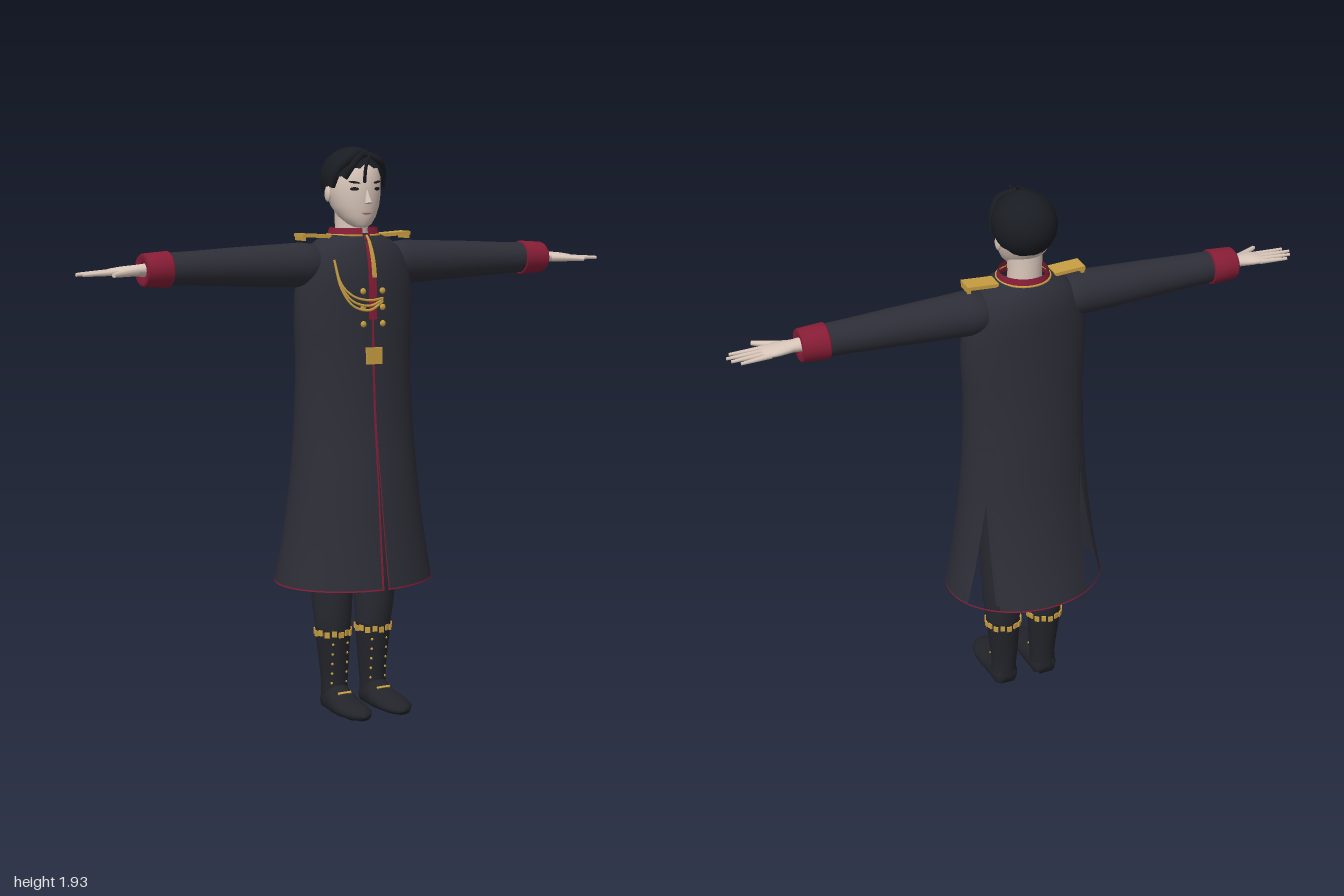
import * as THREE from 'three';
import { mergeVertices } from 'three/addons/utils/BufferGeometryUtils.js';

const mat = (name, color, side = THREE.FrontSide) => {
  const m = new THREE.MeshStandardMaterial({ color, side });
  m.name = name;
  return m;
};

// Smooth surface from a rule fn(u, v) -> [x, y, z]
function grid(nu, nv, fn) {
  const pos = [], idx = [], w = nu + 1;
  for (let j = 0; j <= nv; j++) for (let i = 0; i <= nu; i++) pos.push(...fn(i / nu, j / nv));
  for (let j = 0; j < nv; j++) for (let i = 0; i < nu; i++) {
    const a = j * w + i;
    idx.push(a, a + 1, a + w + 1, a, a + w + 1, a + w);
  }
  let g = new THREE.BufferGeometry();
  g.setAttribute('position', new THREE.Float32BufferAttribute(pos, 3));
  g.setIndex(idx);
  g = mergeVertices(g, 1e-5);
  g.computeVertexNormals();
  return g;
}

// Elliptical loft along an axis; rows are [t, centre1, centre2, radius1, radius2].
// Cross axes: y -> (x, z), x -> (z, y), z -> (y, x)
function loft(axis, rows, n = 24, floor = -1) {
  return grid(n, rows.length - 1, (u, v) => {
    const [t, c1, c2, r1, r2] = rows[Math.round(v * (rows.length - 1))];
    const a = u * Math.PI * 2, p = c1 + r1 * Math.sin(a), q = c2 + r2 * Math.cos(a);
    const o = axis === 'y' ? [p, t, q] : axis === 'x' ? [t, q, p] : [q, p, t];
    o[1] = Math.max(o[1], floor);
    return o;
  });
}

// Coat profile by height: half width, front depth, back depth
const coatY = [0.45, 0.6, 0.8, 1.0, 1.2, 1.4, 1.5, 1.56, 1.6, 1.63, 1.645];
const coatR = [
  0.283, 0.235, 0.235, 0.258, 0.213, 0.198, 0.233, 0.188, 0.165, 0.218, 0.16, 0.147,
  0.213, 0.145, 0.133, 0.218, 0.138, 0.127, 0.208, 0.134, 0.126, 0.188, 0.124, 0.122,
  0.16, 0.11, 0.11, 0.115, 0.095, 0.095, 0.08, 0.08, 0.08];
const profile = new THREE.CubicInterpolant(coatY, coatR, 3);
const coatPoint = (y, a, s = 1) => {
  const [rx, zf, zb] = profile.evaluate(y);
  const c = Math.cos(a);
  return [s * rx * Math.sin(a), y, s * c * (c > 0 ? zf : zb)];
};
// Piece of the coat between two heights and two angles (angles may vary with height)
const patch = (y0, y1, lo, hi, s, nu, nv) => grid(nu, nv, (u, v) => {
  const y = y0 + (y1 - y0) * v;
  return coatPoint(y, lo(y) + (hi(y) - lo(y)) * u, typeof s === 'function' ? s(y) : s);
});
const chest = (x, y, off = 0.005) => {
  const rx = profile.evaluate(y)[0];
  const p = coatPoint(y, Math.asin(x / rx));
  return new THREE.Vector3(p[0], y, p[2] + off);
};
// 0 at the top of a slit, 1 at the hem
const open = (y, top) => Math.max(0, (top - y) / (top - 0.45));

export function createModel() {
  const coat = mat('coatCloth', 0x2d2e37, THREE.DoubleSide);
  const trouser = mat('trouserCloth', 0x292a32);
  const leather = mat('bootLeather', 0x23242a);
  const red = mat('crimsonTrim', 0x861d36, THREE.DoubleSide);
  const gold = mat('goldBraid', 0xc79d42);
  const skin = mat('skin', 0xd9c6ba);
  const hair = mat('hair', 0x191c22, THREE.DoubleSide);
  const dark = mat('eyeDark', 0x22191a);
  const lip = mat('lip', 0xa9807a);

  const model = new THREE.Group();
  const add = (name, geo, m, parent = model, p = [0, 0, 0], r = [0, 0, 0]) => {
    const mesh = new THREE.Mesh(geo, m);
    mesh.name = name;
    mesh.position.set(...p);
    mesh.rotation.set(...r);
    parent.add(mesh);
    return mesh;
  };
  const tube = (pts, r, seg = 24) => new THREE.TubeGeometry(
    new THREE.CatmullRomCurve3(pts.map(p => p.isVector3 ? p : new THREE.Vector3(...p))), seg, r, 6);

  // Long coat: two front panels and a back panel parted by slits
  const PI = Math.PI;
  const frontGap = y => 0.03 * open(y, 0.95);
  const sideA = y => 2.3 - 0.27 * open(y, 0.95);
  const sideB = y => 2.3 + 0.22 * open(y, 0.95);
  add('coatFrontLeft', patch(0.45, 1.645, frontGap, sideA, 1, 28, 48), coat);
  add('coatFrontRight', patch(0.45, 1.645, y => -sideA(y), y => -frontGap(y), 1, 28, 48), coat);
  add('coatBack', patch(0.45, 1.645, sideB, y => 2 * PI - sideB(y), 1, 24, 48), coat);

  // Vent pleats, red piping and hem
  const ventS = y => 1.006 - 0.14 * open(y, 1.07);
  const ventLo = y => 2.1 + 0.3 * open(y, 1.07), ventHi = y => 2.42 + 0.22 * open(y, 1.07);
  add('ventPleatLeft', patch(0.45, 1.07, ventLo, ventHi, ventS, 4, 16), coat);
  add('ventPleatRight', patch(0.45, 1.07, y => -ventHi(y), y => -ventLo(y), ventS, 4, 16), coat);
  add('pipingLeft', patch(0.45, 1.4, frontGap, y => frontGap(y) + 0.014, 1.008, 1, 24), red);
  add('pipingRight', patch(0.45, 1.4, y => -frontGap(y) - 0.026, y => -frontGap(y), 1.008, 1, 24), red);
  add('placket', patch(1.36, 1.64, () => -0.07, () => 0.07, 1.012, 4, 10), red);
  add('placketBraid', patch(1.5, 1.64, () => -0.01, () => 0.075, 1.03, 4, 8), gold);
  add('hemPiping', patch(0.45, 0.455, () => 0.03, () => 2 * PI - 0.03, 1.004, 64, 1), red);

  // Collar
  add('collar', grid(32, 4, (u, v) => {
    const a = 0.12 + u * (2 * PI - 0.24), r = 0.094 - 0.012 * v;
    return [r * Math.sin(a), 1.615 + 0.047 * v, r * Math.cos(a)];
  }), red);
  add('collarBraid', tube(Array.from({ length: 17 }, (_, i) => {
    const a = 0.15 + i / 16 * (2 * PI - 0.3);
    return [0.089 * Math.sin(a), 1.638, 0.089 * Math.cos(a)];
  }), 0.004, 48), gold);

  // Buttons, buckle and chest cords
  for (const s of [-1, 1]) for (const y of [1.345, 1.4, 1.455]) {
    const b = add('coatButton', new THREE.SphereGeometry(0.011, 12, 8), gold);
    b.position.copy(chest(s * 0.037, y, 0.003));
    b.scale.z = 0.6;
  }
  add('buckle', new THREE.BoxGeometry(0.058, 0.056, 0.014), gold, model, [0, 1.238, 0.147]);
  for (const d of [0, 0.03, 0.055]) {
    add('chestCord', tube([chest(-0.125, 1.56), chest(-0.11, 1.48 - d * 0.3), chest(-0.075, 1.44 - d * 0.6, 0.012),
      chest(-0.02, 1.425 - d * 0.6, 0.014), chest(0.035, 1.43 - d * 0.2, 0.008)], 0.0045), gold);
  }

  // Head and neck
  add('neck', loft('y', [[1.6, 0, -0.012, 0.062, 0.06], [1.66, 0, -0.012, 0.056, 0.057], [1.74, 0, -0.012, 0.06, 0.058]]), skin);
  add('head', loft('y', [
    [1.662, 0, 0.055, 0.001, 0.001], [1.665, 0, 0.052, 0.022, 0.026], [1.675, 0, 0.043, 0.04, 0.045],
    [1.7, 0, 0.026, 0.063, 0.068], [1.735, 0, 0.011, 0.081, 0.087], [1.78, 0, 0, 0.091, 0.1],
    [1.83, 0, -0.005, 0.093, 0.103], [1.87, 0, -0.01, 0.082, 0.09], [1.905, 0, -0.01, 0.05, 0.055],
    [1.915, 0, -0.01, 0.001, 0.001]], 32), skin);
  const nose = add('nose', new THREE.ConeGeometry(0.013, 0.055, 8), skin, model, [0, 1.772, 0.101], [-0.2, 0, 0]);
  nose.scale.z = 1.5;
  const dab = (name, m, x, y, z, sx, sy, ry, rz) => add(name, new THREE.SphereGeometry(1, 12, 8), m, model,
    [x, y, z], [0, ry, rz]).scale.set(sx, sy, 0.004);
  for (const s of [-1, 1]) {
    dab('eye', dark, s * 0.043, 1.793, 0.088, 0.015, 0.006, s * 0.45, 0);
    dab('eyebrow', dark, s * 0.043, 1.815, 0.088, 0.02, 0.004, s * 0.45, s * 0.15);
    const ear = add('ear', new THREE.SphereGeometry(0.022, 12, 8), skin, model, [s * 0.092, 1.775, -0.01]);
    ear.scale.set(0.4, 1.2, 0.8);
  }
  dab('mouth', lip, 0, 1.712, 0.095, 0.018, 0.004, 0, 0);

  // Hair cap, higher over the face than at the nape, with loose strands
  add('hair', grid(48, 16, (u, v) => {
    const a = u * 2 * PI, back = (1 - Math.cos(a)) / 2;
    const low = 1.872 - 0.14 * Math.pow(back, 0.8) + 0.006 * Math.cos(a * 12);
    const y = low + (1.932 - low) * (1 - (1 - v) * (1 - v));
    const r = Math.sqrt(Math.max(0, 1 - ((y - 1.825) / 0.107) ** 2));
    return [0.107 * r * Math.sin(a), y, -0.008 + 0.114 * r * Math.cos(a)];
  }), hair);
  const strands = [
    [[0.01, 1.905, 0.07], [-0.005, 1.9, 0.12], [-0.02, 1.865, 0.125], [-0.018, 1.815, 0.112]],
    [[0.02, 1.91, 0.06], [-0.03, 1.895, 0.09], [-0.055, 1.865, 0.088], [-0.072, 1.83, 0.072]],
    [[0.0, 1.915, 0.05], [-0.055, 1.89, 0.07], [-0.085, 1.85, 0.05], [-0.096, 1.8, 0.025]],
    [[0.0, 1.915, 0.05], [0.05, 1.89, 0.078], [0.08, 1.855, 0.06], [0.096, 1.8, 0.025]]];
  strands.forEach((p, k) => add('hairStrand', tube(p, k ? 0.012 : 0.006), hair));

  // Arms, shoulder boards and legs, built on the left and mirrored
  for (const s of [1, -1]) {
    const side = new THREE.Group();
    side.name = s > 0 ? 'leftLimbs' : 'rightLimbs';
    side.scale.x = s;
    model.add(side);

    add('sleeve', loft('x', [
      [0.13, -0.005, 1.535, 0.06, 0.05], [0.155, -0.005, 1.54, 0.075, 0.07], [0.2, -0.005, 1.54, 0.075, 0.075],
      [0.3, -0.006, 1.54, 0.07, 0.071], [0.45, -0.006, 1.541, 0.063, 0.064], [0.6, -0.006, 1.541, 0.057, 0.056],
      [0.69, -0.006, 1.541, 0.054, 0.053]], 32), coat, side);
    add('cuff', loft('x', [
      [0.68, -0.006, 1.54, 0.03, 0.03], [0.676, -0.006, 1.54, 0.055, 0.054], [0.682, -0.006, 1.54, 0.061, 0.06],
      [0.765, -0.006, 1.54, 0.058, 0.054], [0.772, -0.006, 1.54, 0.053, 0.049], [0.765, -0.006, 1.54, 0.028, 0.026]], 32), red, side);

    // Hand
    add('palm', loft('x', [
      [0.74, 0, 1.54, 0.026, 0.024], [0.79, 0, 1.54, 0.027, 0.019], [0.84, 0, 1.539, 0.04, 0.016],
      [0.88, -0.002, 1.537, 0.038, 0.012], [0.89, -0.002, 1.536, 0.03, 0.004]], 20), skin, side);
    const finger = (x0, z0, x1, z1, r) => {
      const a = new THREE.Vector3(x0, 1.537, z0), b = new THREE.Vector3(x1, 1.533, z1), d = b.clone().sub(a);
      const m = add('finger', new THREE.CylinderGeometry(r * 0.55, r, d.length(), 8), skin, side);
      m.position.copy(a.add(b).multiplyScalar(0.5));
      m.quaternion.setFromUnitVectors(new THREE.Vector3(0, 1, 0), d.normalize());
    };
    [0.965, 0.99, 1.0, 0.985].forEach((tip, i) => {
      const z = -0.031 + i * 0.0195;
      finger(0.865, z, tip, z * 1.25, 0.0095);
    });
    finger(0.8, 0.02, 0.9, 0.08, 0.014);

    // Shoulder board with fringe blocks
    add('shoulderBoard', new THREE.BoxGeometry(0.108, 0.012, 0.064), gold, side, [0.153, 1.637, -0.002], [0, 0, 0.06]);
    for (let i = 0; i < 5; i++)
      add('boardFringe', new THREE.BoxGeometry(0.012, 0.016, 0.009), gold, side, [0.2, 1.63, -0.027 + i * 0.0125]);

    // Trousers, boot and foot
    add('trouserLeg', loft('y', [
      [0.255, 0.08, 0, 0.058, 0.056], [0.29, 0.08, 0, 0.062, 0.063], [0.36, 0.083, -0.001, 0.067, 0.078],
      [0.45, 0.085, -0.002, 0.07, 0.087], [0.7, 0.087, 0, 0.078, 0.095], [0.98, 0.088, 0, 0.086, 0.1]]), trouser, side);
    add('bootShaft', loft('y', [
      [0.03, 0.077, 0.003, 0.047, 0.046], [0.08, 0.076, 0.002, 0.046, 0.045], [0.13, 0.076, 0, 0.05, 0.048],
      [0.2, 0.078, -0.001, 0.056, 0.055], [0.26, 0.08, -0.002, 0.061, 0.06], [0.285, 0.08, -0.002, 0.063, 0.063]]), leather, side);
    add('bootFoot', loft('z', [
      [-0.038, 0.03, 0.077, 0.001, 0.001], [-0.036, 0.025, 0.077, 0.035, 0.035], [-0.015, 0.025, 0.077, 0.055, 0.047],
      [0.04, 0.025, 0.077, 0.06, 0.05], [0.08, 0.02, 0.078, 0.042, 0.055], [0.14, 0.018, 0.08, 0.03, 0.057],
      [0.19, 0.017, 0.079, 0.024, 0.048], [0.22, 0.016, 0.077, 0.017, 0.028], [0.23, 0.014, 0.077, 0.001, 0.001]], 24, 0), leather, side);
    for (let i = 0; i < 16; i++) {
      const a = i / 16 * 2 * PI;
      add('bootBand', new THREE.BoxGeometry(0.017, 0.02, 0.006), gold, side,
        [0.08 + 0.064 * Math.sin(a), 0.264 + (i % 2) * 0.005, -0.002 + 0.063 * Math.cos(a)], [0, a, 0]);
    }
    for (const x of [-0.028, 0.028]) for (let i = 0; i < 5; i++) {
      const y = 0.09 + i * 0.035;
      add('bootStud', new THREE.SphereGeometry(0.005, 8, 6), gold, side, [0.077 + x, y, 0.037 + (y - 0.09) * 0.08]);
    }
    add('instepStrap', new THREE.BoxGeometry(0.05, 0.006, 0.008), gold, side, [0.077, 0.062, 0.08], [0.6, 0, 0]);
  }
  return model;
}
